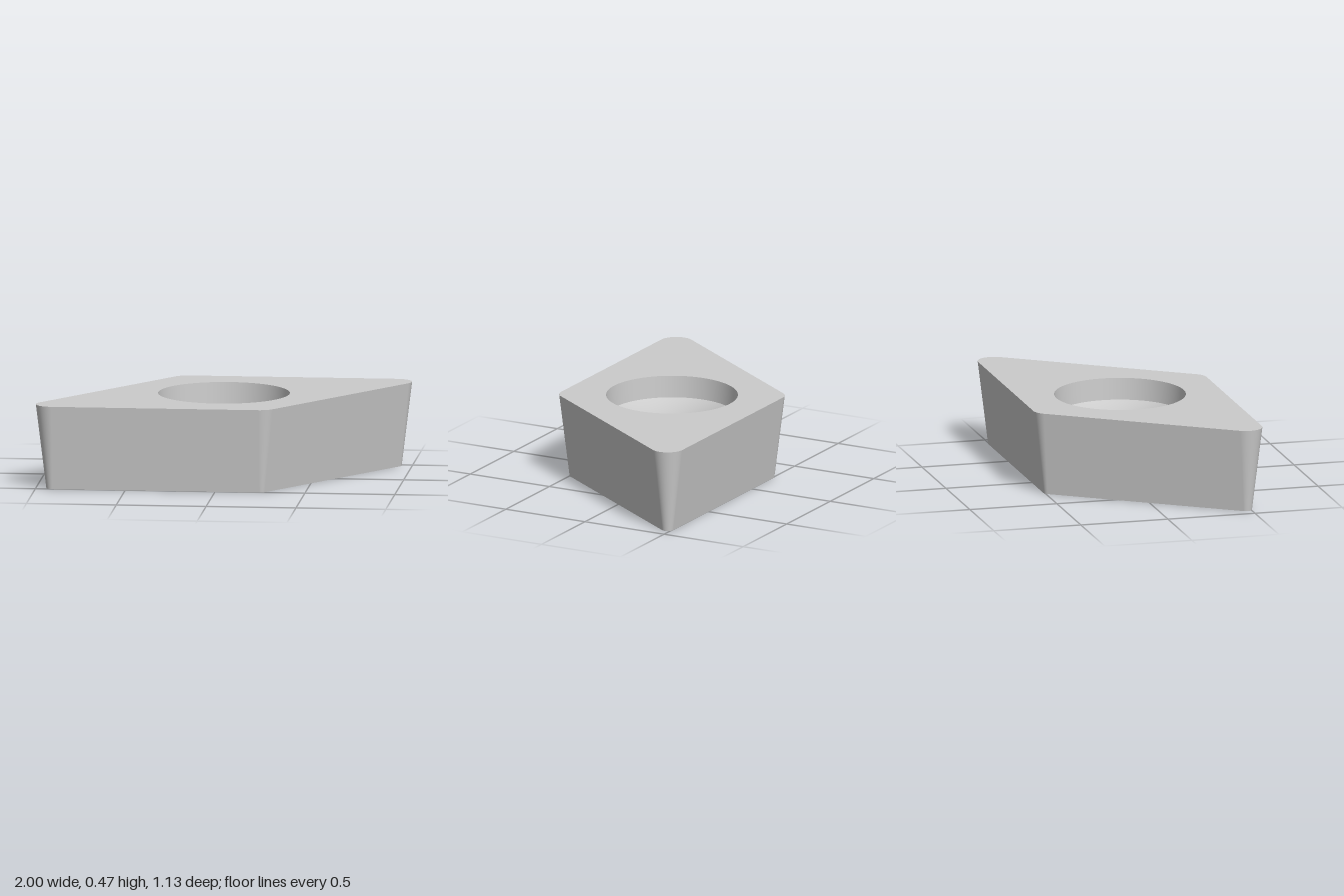
import * as THREE from 'three';

const HEIGHT = 0.472, INRADIUS = 0.565, CORNER = 0.093;
const HALF = THREE.MathUtils.degToRad(27.5);   // half of the acute corner angle
const DRAFT = THREE.MathUtils.degToRad(7);     // relief angle of the side walls
const HOLE_TOP = 0.365, HOLE_BOTTOM = 0.264;
const ARC_STEPS = 16;

const material = new THREE.MeshStandardMaterial({ color: 0xcccccc });

// Rounded rhombus as points with outward angles, seen from above (s = -z)
function outline(radius) {
  const d = INRADIUS - CORNER, deg = THREE.MathUtils.degToRad;
  const acute = [d / Math.tan(HALF), d], obtuse = [-d * Math.tan(HALF), d];
  const corners = [
    [acute, -35, 90, 1], [obtuse, 90, 145, 1],
    [acute, 145, 270, -1], [obtuse, 270, 325, -1],
  ];
  const pts = [];
  for (const [c, from, to, sign] of corners) {
    for (let i = 0; i <= ARC_STEPS; i++) {
      const a = deg(from + (to - from) * i / ARC_STEPS);
      pts.push({ x: sign * c[0] + radius * Math.cos(a), s: sign * c[1] + radius * Math.sin(a), a });
    }
  }
  return pts;
}

// Flat face with a round hole; dir is 1 facing up, -1 facing down
function faceGeometry(pts, holeRadius, y, dir) {
  const shape = new THREE.Shape(pts.map(p => new THREE.Vector2(p.x, dir * p.s)));
  shape.holes.push(new THREE.Path().absarc(0, 0, holeRadius, 0, Math.PI * 2, true));
  return new THREE.ShapeGeometry(shape, 48).rotateX(-dir * Math.PI / 2).translate(0, y, 0);
}

// Drafted side wall joining the lower and upper outlines
function wallGeometry(lower, upper) {
  const positions = [], normals = [], index = [], n = lower.length;
  for (let i = 0; i < n; i++) {
    const a = lower[i].a;
    positions.push(lower[i].x, 0, -lower[i].s, upper[i].x, HEIGHT, -upper[i].s);
    for (let k = 0; k < 2; k++) {
      normals.push(Math.cos(a) * Math.cos(DRAFT), -Math.sin(DRAFT), -Math.sin(a) * Math.cos(DRAFT));
    }
    const b = 2 * i, c = 2 * ((i + 1) % n);
    index.push(b, c, c + 1, b, c + 1, b + 1);
  }
  const g = new THREE.BufferGeometry();
  g.setAttribute('position', new THREE.Float32BufferAttribute(positions, 3));
  g.setAttribute('normal', new THREE.Float32BufferAttribute(normals, 3));
  g.setIndex(index);
  return g;
}

export function createModel() {
  const group = new THREE.Group();
  group.name = 'cuttingInsert';
  const add = (name, geometry) => {
    const mesh = new THREE.Mesh(geometry, material);
    mesh.name = name;
    group.add(mesh);
  };

  // Rhombic body
  const upper = outline(CORNER);
  const lower = outline(CORNER - HEIGHT * Math.tan(DRAFT));
  add('sideWall', wallGeometry(lower, upper));
  add('topFace', faceGeometry(upper, HOLE_TOP, HEIGHT, 1));
  add('bottomFace', faceGeometry(lower, HOLE_BOTTOM, 0, -1));

  // Screw hole: steep rim, then a rounded seat narrowing to a straight bore.
  // Profiles run downwards so that the surfaces face the axis.
  const seatTop = new THREE.Vector2(0.357, 0.35), boreTop = 0.12;
  const dx = seatTop.x - HOLE_BOTTOM, dy = seatTop.y - boreTop;
  const arcRadius = (dx * dx + dy * dy) / (2 * dx);
  const sweep = Math.asin(dy / arcRadius);
  const seat = [];
  for (let i = 0; i <= 14; i++) {
    const a = sweep * (1 - i / 14);
    seat.push(new THREE.Vector2(
      HOLE_BOTTOM + arcRadius * (1 - Math.cos(a)), boreTop + arcRadius * Math.sin(a)));
  }
  seat.push(new THREE.Vector2(HOLE_BOTTOM, 0));
  add('holeRim', new THREE.LatheGeometry([new THREE.Vector2(HOLE_TOP, HEIGHT), seatTop], 96));
  add('screwSeat', new THREE.LatheGeometry(seat, 96));

  return group;
}
